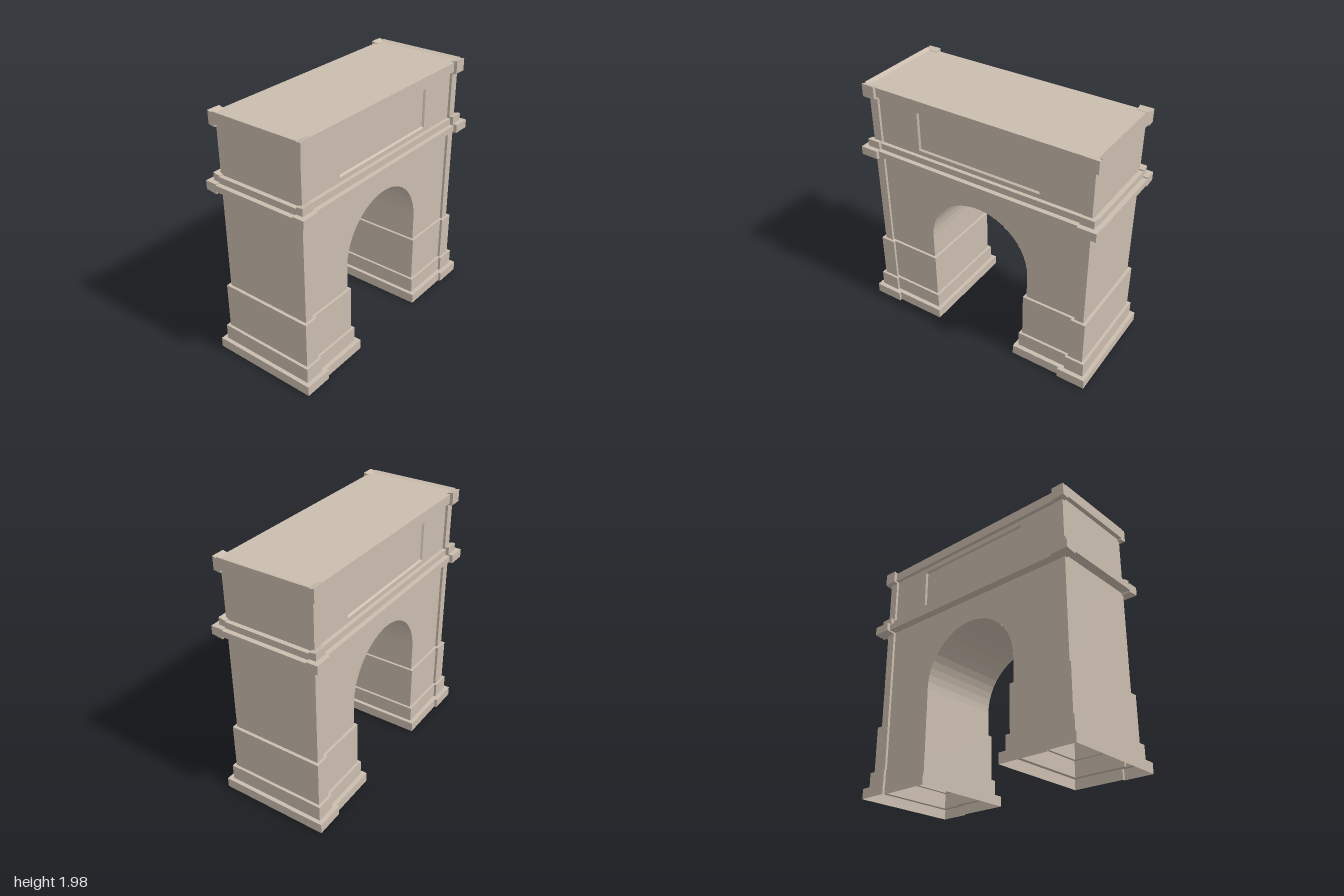
import * as THREE from 'three';

const WALL = 0.345, PIL = 0.365;      // half depths of the wall and the corner pilasters
const ZP = 0.85, ZE = 0.92;           // pilaster start and end face
const ARCH = 0.43, SPRING = 0.78, FOOT = 0.575, ROOF = 1.96;

export function createModel() {
  const stone = new THREE.MeshStandardMaterial({ color: 0xcabdae, side: THREE.DoubleSide });
  stone.name = 'warm stone';
  const model = new THREE.Group();
  model.name = 'triumphalArch';

  const add = (parent, name, geometry) => {
    const mesh = new THREE.Mesh(geometry, stone);
    mesh.name = name;
    parent.add(mesh);
    return mesh;
  };

  // Flat-shaded surface through rows of points
  const sheet = (rows) => {
    const pos = [];
    for (let i = 0; i < rows.length - 1; i++) {
      for (let j = 0; j < rows[i].length - 1; j++) {
        const a = rows[i][j], b = rows[i][j + 1], c = rows[i + 1][j + 1], d = rows[i + 1][j];
        pos.push(...a, ...b, ...c, ...a, ...c, ...d);
      }
    }
    const g = new THREE.BufferGeometry();
    g.setAttribute('position', new THREE.Float32BufferAttribute(pos, 3));
    g.computeVertexNormals();
    return g;
  };

  const shapeOf = (pts) => new THREE.Shape(pts.map(([x, y]) => new THREE.Vector2(x, y)));

  // Profile in x,y extruded from z0 to z1
  const prism = (pts, z0, z1) =>
    new THREE.ExtrudeGeometry(shapeOf(pts), { depth: z1 - z0, bevelEnabled: false }).translate(0, 0, z0);

  // T-shaped pier outline, wider at the outer end
  const outline = (y, w, zi, zm, zo) => {
    const n = w - 0.02;
    return [[w, zo], [w, zm], [n, zm], [n, zi], [-n, zi], [-n, zm], [-w, zm], [-w, zo], [w, zo]]
      .map(([x, z]) => [x, y, z]);
  };

  // Mouldings: lower and upper belt, and top cap
  const belts = [
    { name: 'lowerBelt', y0: 1.40, y1: 1.45, out: 0.073, mid: 0.412, in0: 1.383, in1: 1.46, w0: 1.393, w1: 1.46 },
    { name: 'upperBelt', y0: 1.45, y1: 1.50, out: 0.035, mid: 0.375, in0: 1.45, in1: 1.51, w0: 1.45, w1: 1.52 },
    { name: 'topCap', y0: 1.885, y1: ROOF, out: 0.034, mid: 0.375, in0: 1.866, in1: 1.962, w0: 1.875, w1: 1.975 },
  ];

  // One end of the arch: pier base, pilaster shell and wrapping mouldings
  const makeEnd = () => {
    const end = new THREE.Group();
    const tiers = [
      [0, 0.08, 0.44, 0.36, 0.77, 1.0],
      [0.08, 0.205, 0.405, 0.39, 0.81, 0.968],
      [0.205, FOOT, 0.385, 0.41, 0.825, 0.945],
    ];
    const rows = [];
    for (const [y0, y1, ...plan] of tiers) rows.push(outline(y0, ...plan), outline(y1, ...plan));
    rows.push(outline(FOOT, PIL, ARCH, ZP, ZE));
    add(end, 'steppedPierBase', sheet(rows));

    const wrap = [[-WALL, ZP], [-PIL, ZP], [-PIL, ZE], [PIL, ZE], [PIL, ZP], [WALL, ZP]];
    add(end, 'endPilaster', sheet([FOOT, ROOF].map((y) => wrap.map(([x, z]) => [x, y, z]))));

    for (const b of belts) {
      const zo = ZE + b.out, xo = PIL + b.out;
      const lip = b.name === 'topCap' ? 0.014 : 0;
      const bar = prism([[ZP + 0.01, b.y0], [zo, b.y0], [zo, b.y1 + lip], [ZE, b.y1], [ZP + 0.01, b.y1]], -PIL, PIL);
      add(end, b.name + 'End', bar.rotateY(-Math.PI / 2));
      for (const s of [-1, 1]) {
        const pts = [[WALL, b.in0], [xo, b.w0], [xo, b.w1], [WALL, b.in1]].map(([x, y]) => [s * x, y]);
        add(end, b.name + 'Return', prism(pts, ZP, zo));
      }
    }
    return end;
  };

  // One broad side: wall with arched opening, sunken panel and bands
  const makeSide = () => {
    const side = new THREE.Group();
    const wall = new THREE.Shape();
    wall.moveTo(-ZP, FOOT);
    wall.lineTo(-ARCH, FOOT);
    wall.lineTo(-ARCH, SPRING);
    wall.absarc(0, SPRING, ARCH, Math.PI, 0, true);
    wall.lineTo(ARCH, FOOT);
    wall.lineTo(ZP, FOOT);
    wall.lineTo(ZP, ROOF);
    wall.lineTo(-ZP, ROOF);
    wall.closePath();

    const rect = (i, x) => {
      const z = 0.51 - i, y0 = 1.535 + i, y1 = 1.845 - i;
      return [[x, y0, -z], [x, y0, z], [x, y1, z], [x, y1, -z], [x, y0, -z]];
    };
    wall.holes.push(new THREE.Path(rect(0, 0).slice(0, 4).map(([, y, z]) => new THREE.Vector2(z, y))));
    add(side, 'archedWall', new THREE.ShapeGeometry(wall, 24).rotateY(-Math.PI / 2).translate(-WALL, 0, 0));
    add(side, 'panelReveal', sheet([rect(0, -WALL), rect(0.01, -WALL + 0.015)]));
    add(side, 'sunkenPanel', new THREE.PlaneGeometry(1.0, 0.29).rotateY(-Math.PI / 2)
      .translate(-WALL + 0.015, 1.69, 0));

    for (const b of belts) {
      const d = b.mid - WALL;
      add(side, b.name + 'Band', new THREE.BoxGeometry(d, b.y1 - b.y0, 2 * ZP)
        .translate(-WALL - d / 2, (b.y0 + b.y1) / 2, 0));
    }
    return side;
  };

  for (const [i, label] of ['front', 'back'].entries()) {
    const end = makeEnd();
    end.name = label + 'Pier';
    end.rotation.y = i * Math.PI;
    model.add(end);
  }
  for (const [i, label] of ['right', 'left'].entries()) {
    const side = makeSide();
    side.name = label + 'Side';
    side.rotation.y = i * Math.PI;
    model.add(side);
  }

  // Faceted underside of the vault
  const curve = [[-ARCH, FOOT]];
  for (let i = 0; i <= 24; i++) {
    const t = Math.PI * (1 - i / 24);
    curve.push([ARCH * Math.cos(t), SPRING + ARCH * Math.sin(t)]);
  }
  curve.push([ARCH, FOOT]);
  add(model, 'vault', sheet([WALL, -WALL].map((x) => curve.map(([z, y]) => [x, y, z]))));

  // Flat roof
  add(model, 'roof', new THREE.PlaneGeometry(2 * PIL, 2 * ZE).rotateX(-Math.PI / 2).translate(0, ROOF, 0));

  return model;
}
